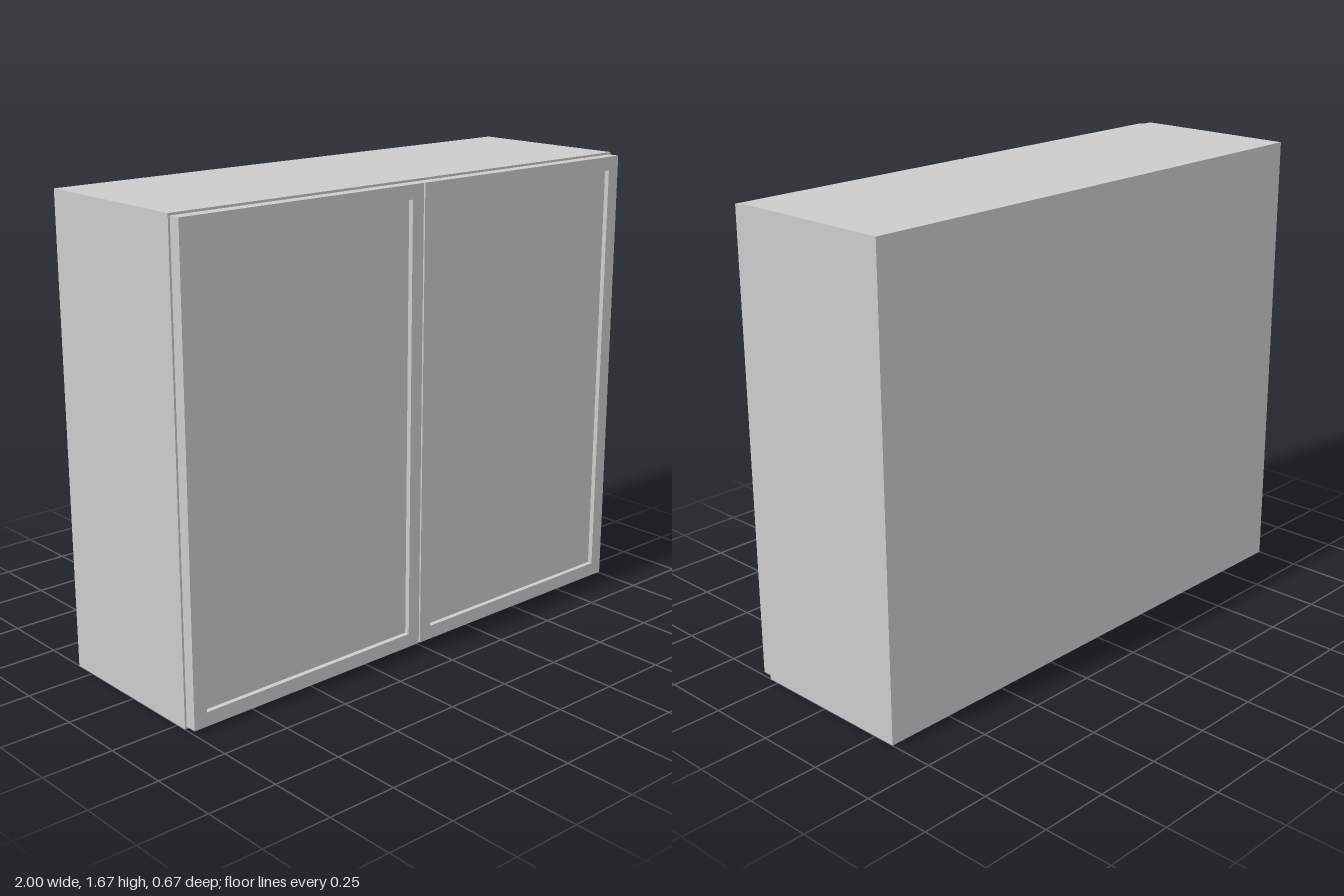
import * as THREE from 'three';

const W = 2, H = 1.667, T = 0.04;
const BACK = -0.333, FRONT = 0.29, DOOR_FRONT = 0.333;

const material = new THREE.MeshStandardMaterial({ color: 0xcccccc, flatShading: true });

// Box given by its minimum and maximum corners
function panel(name, [x0, y0, z0], [x1, y1, z1]) {
  const mesh = new THREE.Mesh(new THREE.BoxGeometry(x1 - x0, y1 - y0, z1 - z0), material);
  mesh.position.set((x0 + x1) / 2, (y0 + y1) / 2, (z0 + z1) / 2);
  mesh.name = name;
  return mesh;
}

function rectangle(target, x0, y0, x1, y1) {
  target.moveTo(x0, y0);
  target.lineTo(x1, y0);
  target.lineTo(x1, y1);
  target.lineTo(x0, y1);
  target.closePath();
  return target;
}

// Door: a flat frame around a slightly recessed panel
function createDoor(name, x0, x1) {
  const door = new THREE.Group();
  door.name = name;
  const y0 = 0.008, y1 = H - 0.008, rail = 0.05, recess = 0.018;

  const shape = rectangle(new THREE.Shape(), x0, y0, x1, y1);
  shape.holes.push(rectangle(new THREE.Path(), x0 + rail, y0 + rail, x1 - rail, y1 - rail));
  const depth = DOOR_FRONT - FRONT;
  const frame = new THREE.Mesh(new THREE.ExtrudeGeometry(shape, { depth, bevelEnabled: false }), material);
  frame.position.z = FRONT;
  frame.name = 'doorFrame';

  door.add(frame, panel('doorPanel',
    [x0 + rail, y0 + rail, FRONT], [x1 - rail, y1 - rail, DOOR_FRONT - recess]));
  return door;
}

export function createModel() {
  const cabinet = new THREE.Group();
  cabinet.name = 'wallCabinet';
  const inner = W / 2 - T;

  // Carcass: full-height sides with top, bottom and back fitted between them
  cabinet.add(
    panel('rightSide', [-W / 2, 0, BACK], [-inner, H, FRONT]),
    panel('leftSide', [inner, 0, BACK], [W / 2, H, FRONT]),
    panel('bottomPanel', [-inner, 0, BACK], [inner, T, FRONT]),
    panel('topPanel', [-inner, H - T, BACK], [inner, H, FRONT]),
    panel('backPanel', [-inner, T, BACK], [inner, H - T, BACK + 0.02])
  );

  // Pair of doors with a narrow gap between them
  const edge = 0.993, gap = 0.003;
  cabinet.add(createDoor('rightDoor', -edge, -gap), createDoor('leftDoor', gap, edge));
  return cabinet;
}
